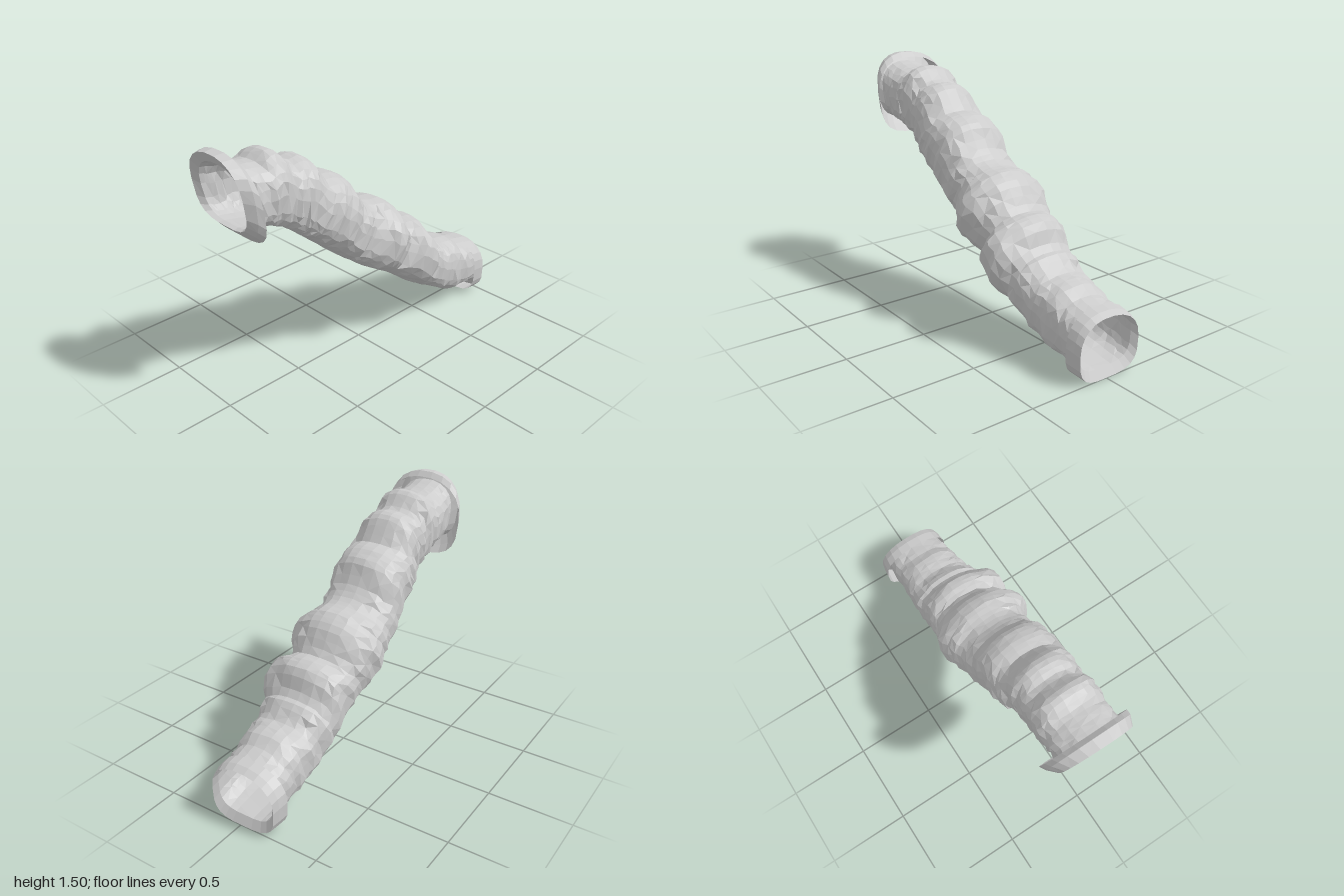
import * as THREE from 'three';

const SIDES = 22;

// Piecewise linear lookup in a list of [z, value], z falling
function at(table, z) {
  if (z >= table[0][0]) return table[0][1];
  for (let i = 1; i < table.length; i++) {
    const [z0, a] = table[i - 1], [z1, b] = table[i];
    if (z >= z1) return a + (b - a) * (z0 - z) / (z0 - z1);
  }
  return table[table.length - 1][1];
}

// Seeded noise in -1..1
function makeNoise(seed) {
  return () => {
    seed = (seed * 16807) % 2147483647;
    return seed / 1073741823.5 - 1;
  };
}

// Arched cross-section with a flattened floor, spanned between a top and a bottom point
function ring({ top, bottom, left, right, bulgeL = 0, bulgeR = 0 }, wobble = () => 0) {
  const pts = [];
  for (let j = 0; j < SIDES; j++) {
    const t = (j / SIDES) * Math.PI * 2, c = Math.cos(t), s = Math.sin(t);
    const e = s < 0 ? 0.6 : 0.88;
    const u = Math.sign(c) * Math.abs(c) ** e;
    const h = (1 + Math.sign(s) * Math.abs(s) ** e) / 2;
    const side = c > 0 ? right : left, bulge = c > 0 ? bulgeR : bulgeL;
    const k = Math.abs(s) > 0.9 ? 0.3 : 1;
    pts.push(new THREE.Vector3(
      u * side + Math.sign(c) * bulge * Math.abs(c) ** 2.2 + wobble() * 0.5 * k,
      bottom[1] + (top[1] - bottom[1]) * h + wobble() * 0.6 * k,
      bottom[0] + (top[0] - bottom[0]) * h + wobble() * k));
  }
  return pts;
}

// Skin stretched over successive rings
function loft(rings, name, material) {
  const pos = rings.flat().flatMap(p => [p.x, p.y, p.z]), idx = [];
  for (let i = 0; i < rings.length - 1; i++) {
    for (let j = 0; j < SIDES; j++) {
      const a = i * SIDES + j, b = i * SIDES + (j + 1) % SIDES;
      const c = a + SIDES, d = b + SIDES;
      if ((i + j) % 2) idx.push(a, c, b, b, c, d);
      else idx.push(a, c, d, a, d, b);
    }
  }
  const geo = new THREE.BufferGeometry();
  geo.setAttribute('position', new THREE.Float32BufferAttribute(pos, 3));
  geo.setIndex(idx);
  geo.computeVertexNormals();
  const mesh = new THREE.Mesh(geo, material);
  mesh.name = name;
  return mesh;
}

// Lumpy roof line
const ROOF = [[0.97, 1.44], [0.9, 1.42], [0.76, 1.4], [0.72, 1.43], [0.68, 1.45], [0.64, 1.43],
  [0.56, 1.35], [0.47, 1.36], [0.41, 1.32], [0.34, 1.21], [0.25, 1.2], [0.16, 1.15], [0.1, 1.03],
  [0.04, 0.97], [-0.02, 0.94], [-0.12, 0.93], [-0.2, 0.88], [-0.27, 0.77], [-0.3, 0.73],
  [-0.38, 0.73], [-0.44, 0.7], [-0.5, 0.56], [-0.55, 0.55], [-0.63, 0.47], [-0.75, 0.45],
  [-0.82, 0.4], [-0.97, 0.36]];
// Smooth underside
const FLOOR = [[0.9, 1.09], [0.75, 1.06], [0.62, 1], [0.4, 0.83], [0.2, 0.66], [0, 0.52],
  [-0.2, 0.4], [-0.37, 0.27], [-0.5, 0.2], [-0.7, 0.09], [-0.97, 0.05]];
// Half widths to either side
const LEFT = [[0.95, 0.19], [0.7, 0.21], [0.5, 0.2], [0.4, 0.235], [0.2, 0.25], [0.05, 0.265],
  [-0.09, 0.3], [-0.15, 0.28], [-0.23, 0.25], [-0.5, 0.23], [-0.7, 0.21], [-0.97, 0.2]];
const RIGHT = [[0.95, 0.18], [0.7, 0.19], [0.6, 0.18], [0.4, 0.22], [0.2, 0.22], [0.05, 0.2],
  [0, 0.23], [-0.05, 0.28], [-0.1, 0.29], [-0.16, 0.24], [-0.23, 0.2], [-0.26, 0.27],
  [-0.33, 0.3], [-0.4, 0.29], [-0.46, 0.23], [-0.7, 0.2], [-0.97, 0.17]];
// How far the foot of each section leans toward the front
const LEAN = [[0.97, -0.07], [0.6, 0.04], [0.3, 0.18], [-0.3, 0.18], [-0.6, 0.1], [-0.97, 0]];

export function createModel() {
  const group = new THREE.Group();
  const material = new THREE.MeshStandardMaterial({
    color: 0xcccccc, flatShading: true, side: THREE.DoubleSide });
  const noise = makeNoise(4711);

  // Wrinkled hollow tunnel sloping down to the back
  const rings = [], steps = 64;
  for (let i = 0; i <= steps; i++) {
    const z = 0.97 - (i / steps) * 1.94;
    const lean = at(LEAN, z), mid = z + lean / 2;
    const left = at(LEFT, mid), right = at(RIGHT, mid);
    const fold = i > 2 && i < steps - 2 ? 0.006 * Math.sin(i * 1.9) : 0;
    const end = i === 0 || i === steps;
    rings.push(ring({
      top: [z, at(ROOF, z)], bottom: [z + lean, at(FLOOR, z + lean)],
      left: Math.min(left, 0.22) + fold, right: Math.min(right, 0.2) + fold,
      bulgeL: Math.max(0, left - 0.22), bulgeR: Math.max(0, right - 0.2),
    }, end ? undefined : () => noise() * 0.011));
  }
  group.add(loft(rings, 'tunnel', material));

  // Flared collar round the upper opening
  group.add(loft([
    rings[0],
    ring({ top: [1, 1.495], bottom: [0.93, 1.085], left: 0.225, right: 0.2 }),
    ring({ top: [0.94, 1.5], bottom: [0.885, 1.04], left: 0.265, right: 0.23 }),
    ring({ top: [0.91, 1.47], bottom: [0.84, 1.0], left: 0.28, right: 0.24 }),
  ], 'upperCollar', material));

  // Collar round the lower opening
  group.add(loft([
    ring({ top: [-0.905, 0.38], bottom: [-0.89, 0.01], left: 0.247, right: 0.2 }),
    ring({ top: [-0.96, 0.37], bottom: [-0.96, 0.005], left: 0.24, right: 0.197 }),
    ring({ top: [-1, 0.35], bottom: [-1, 0], left: 0.23, right: 0.19 }),
    rings[steps],
  ], 'lowerCollar', material));

  return group;
}
